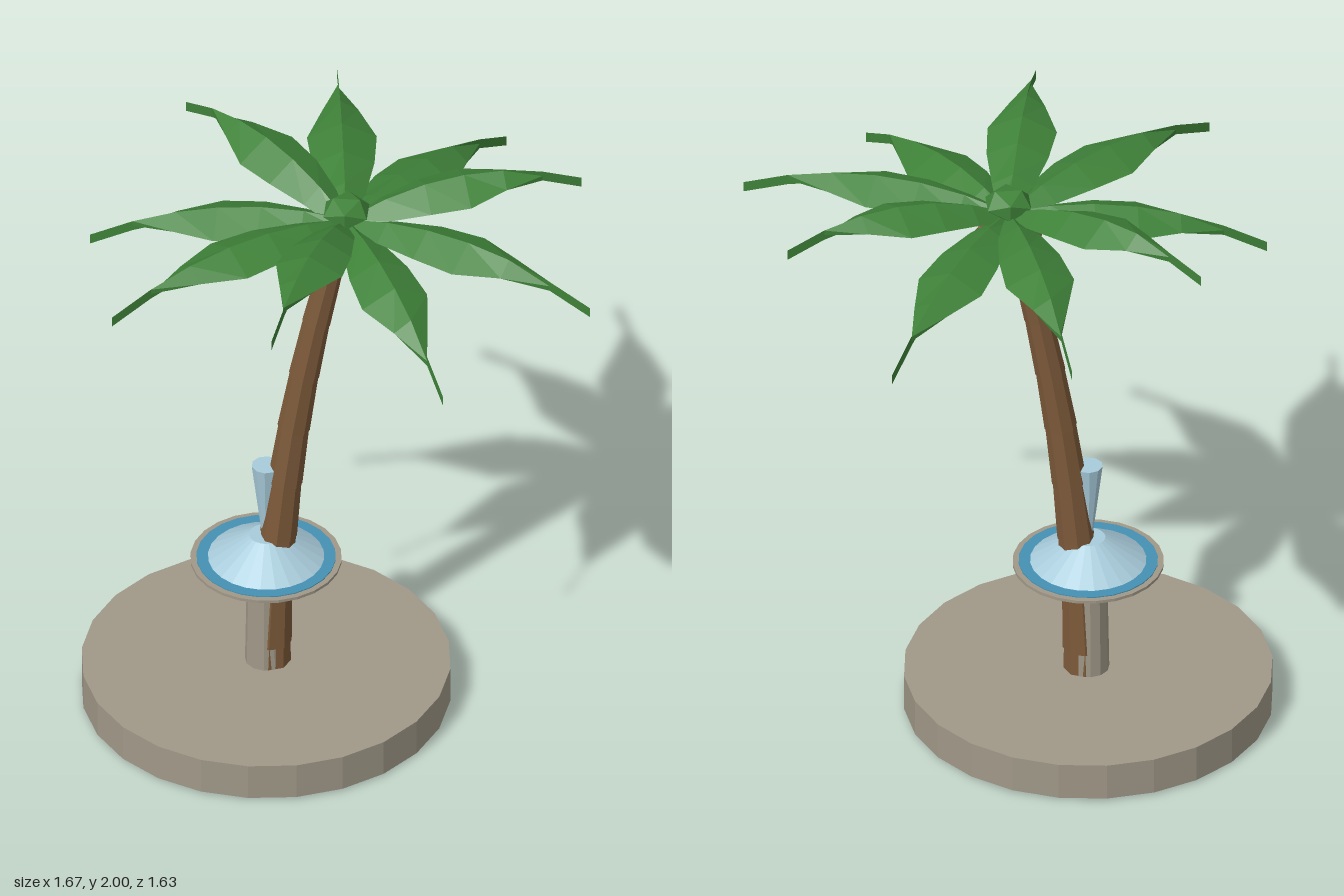
import * as THREE from 'three';

const mat = (name, color) => Object.assign(new THREE.MeshStandardMaterial({ color }), { name });

// Faceted copy of a geometry
function flat(geo) {
  const g = geo.index ? geo.toNonIndexed() : geo;
  g.computeVertexNormals();
  return g;
}

// Arched frond along +x: diamond sections that narrow to an upright blade at the tip
function frondGeometry(length, rise, drop) {
  const halfWidths = [0.03, 0.068, 0.1, 0.112, 0.058, 0, 0];
  const thick = 0.035, pos = [], idx = [];
  halfWidths.forEach((w, i) => {
    const r = (i / 6) * length;
    const y = rise * r - drop * r * r;
    const edge = y - thick / 2 - 0.32 * w;
    pos.push(r, edge, -w, r, y, 0, r, edge, w, r, y - thick, 0);
    if (i === 6) return;
    for (let j = 0; j < 4; j++) {
      const a = i * 4 + j, b = i * 4 + (j + 1) % 4;
      idx.push(a, b, b + 4, a, b + 4, a + 4);
    }
  });
  const n = (halfWidths.length - 1) * 4;
  idx.push(n, n + 1, n + 2, n, n + 2, n + 3);
  const g = new THREE.BufferGeometry();
  g.setAttribute('position', new THREE.Float32BufferAttribute(pos, 3));
  g.setIndex(idx);
  return flat(g);
}

export function createModel() {
  const root = new THREE.Group();
  const stone = mat('stone', 0xa09888);
  const bark = mat('bark', 0x7d5a3a);
  const husk = mat('coconut husk', 0x754f35);
  const leaf = mat('leaf green', 0x3f8239);
  const water = mat('pale water', 0xa8cbda);
  const pool = mat('pool blue', 0x4590b4);

  const add = (parent, name, geo, material, x = 0, y = 0, z = 0) => {
    const m = new THREE.Mesh(flat(geo), material);
    m.name = name;
    m.position.set(x, y, z);
    parent.add(m);
    return m;
  };

  // Fountain: plinth, column, bowl, water
  const fountain = new THREE.Group();
  fountain.name = 'fountain';
  fountain.position.set(-0.243, 0, 0.065);
  root.add(fountain);
  add(fountain, 'plinth', new THREE.CylinderGeometry(0.593, 0.593, 0.125, 24), stone, 0, 0.0675);
  add(fountain, 'column', new THREE.CylinderGeometry(0.062, 0.068, 0.32, 12), stone, 0, 0.285);
  const bowlProfile = [[0, 0.435], [0.085, 0.435], [0.243, 0.523], [0.243, 0.533], [0.222, 0.533], [0.215, 0.526]];
  add(fountain, 'bowl', new THREE.LatheGeometry(bowlProfile.map(p => new THREE.Vector2(...p)), 24), stone);
  add(fountain, 'poolRing', new THREE.CylinderGeometry(0.224, 0.224, 0.008, 24), pool, 0, 0.532);
  add(fountain, 'waterDome', new THREE.CylinderGeometry(0.055, 0.19, 0.088, 24), water, 0, 0.578);
  add(fountain, 'waterJet', new THREE.CylinderGeometry(0.047, 0.01, 0.3, 10), water, 0, 0.745);

  // Leaning trunk of tapered rings
  const trunk = new THREE.Group();
  trunk.name = 'trunk';
  root.add(trunk);
  const top = 1.89, rings = 9;
  const trunkPoint = y => new THREE.Vector3(-0.23 + 0.245 * (y / top) ** 2, y, 0.065);
  const up = new THREE.Vector3(0, 1, 0);
  for (let i = 0; i < rings; i++) {
    const a = trunkPoint((i / rings) * top), b = trunkPoint(((i + 1) / rings) * top);
    const dir = b.clone().sub(a);
    const r0 = 0.07 - 0.0035 * i;
    const m = add(trunk, 'trunkRing', new THREE.CylinderGeometry(r0 * 0.89, r0, dir.length(), 8), bark);
    m.position.copy(a).lerp(b, 0.5);
    m.quaternion.setFromUnitVectors(up, dir.normalize());
  }

  // Crown: heart, fronds of three kinds in turn, coconuts
  const crown = new THREE.Group();
  crown.name = 'crown';
  crown.position.set(0.015, 1.88, 0.06);
  root.add(crown);
  add(crown, 'crownHeart', new THREE.IcosahedronGeometry(0.082, 0), leaf, 0, 0.035).scale.y = 0.65;
  const kinds = [[0.885, 0.32, 0.425], [0.83, 0.2, 0.451], [0.77, 0.55, 0.63]].map(k => frondGeometry(...k));
  for (let i = 0; i < 9; i++) {
    const frond = add(crown, 'frond', kinds[i % 3], leaf);
    frond.rotation.y = -THREE.MathUtils.degToRad(-97.5 + 40 * i);
  }
  for (let i = 0; i < 4; i++) {
    const a = (i * Math.PI) / 2;
    add(crown, 'coconut', new THREE.IcosahedronGeometry(0.04, 0), husk,
      0.073 * Math.cos(a), -0.08, 0.073 * Math.sin(a));
  }
  return root;
}
